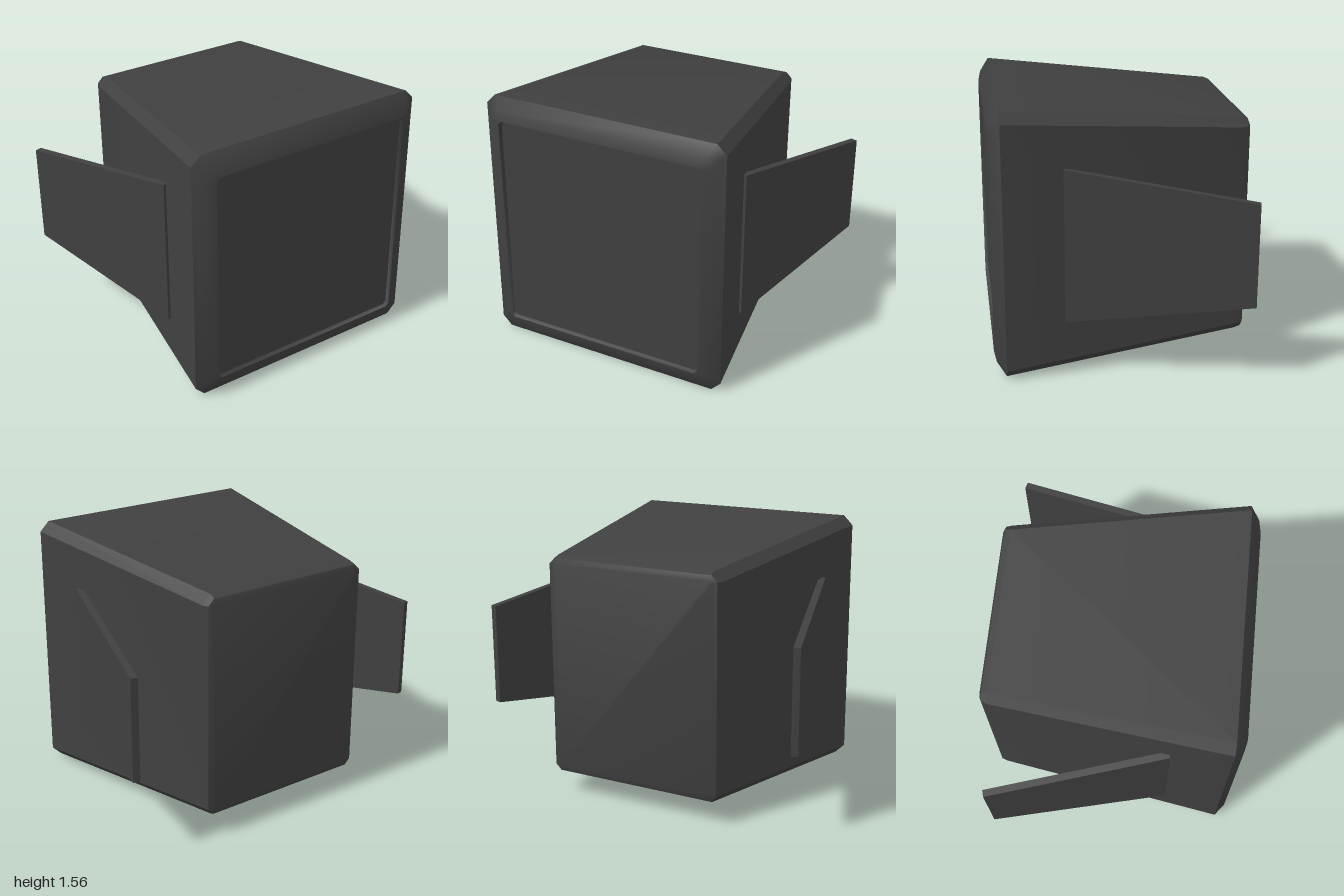
import * as THREE from 'three';
import { toCreasedNormals } from 'three/addons/utils/BufferGeometryUtils.js';

const MID_Y = 0.778;
const material = new THREE.MeshStandardMaterial({ color: 0x404040 });

// Rectangle with cut corners, counter-clockwise seen from +z
function section([z, hx, hy, c]) {
  const corners = [[1, -1], [1, 1], [-1, 1], [-1, -1]];
  return corners.flatMap(([sx, sy]) => {
    const onSide = [sx * hx, MID_Y + sy * (hy - c), z];
    const onEnd = [sx * (hx - c), MID_Y + sy * hy, z];
    return sx * sy < 0 ? [onEnd, onSide] : [onSide, onEnd];
  });
}

// Skin the sections from back to front and close both ends
function loft(sections) {
  const loops = sections.map(section);
  const positions = [];
  const tri = (a, b, c) => positions.push(...a, ...b, ...c);
  const n = loops[0].length;
  for (let k = 0; k < loops.length - 1; k++) {
    for (let i = 0; i < n; i++) {
      const j = (i + 1) % n;
      const a = loops[k], b = loops[k + 1];
      tri(a[i], a[j], b[j]);
      tri(a[i], b[j], b[i]);
    }
  }
  const back = loops[0], front = loops[loops.length - 1];
  for (let i = 1; i < n - 1; i++) {
    tri(back[0], back[i + 1], back[i]);
    tri(front[0], front[i], front[i + 1]);
  }
  const geometry = new THREE.BufferGeometry();
  geometry.setAttribute('position', new THREE.Float32BufferAttribute(positions, 3));
  return toCreasedNormals(geometry, 0.7);
}

// Thin tapered plate splayed outwards to the rear
function finGeometry(side) {
  const geometry = new THREE.BoxGeometry(1, 1, 1);
  const p = geometry.attributes.position;
  for (let i = 0; i < p.count; i++) {
    const outer = p.getX(i) * side > 0;
    const front = p.getZ(i) > 0;
    const x = (front ? 0.715 : 1.0) - (outer ? 0 : 0.039);
    const z = (front ? 0.337 : -0.687) - (outer ? 0 : 0.011);
    const y = MID_Y + Math.sign(p.getY(i)) * (front ? 0.45 : 0.3);
    p.setXYZ(i, side * x, y, z);
  }
  const flat = geometry.toNonIndexed();
  flat.computeVertexNormals();
  return flat;
}

export function createModel() {
  const model = new THREE.Group();
  model.name = 'taperedHousingWithFins';

  // Housing: rounded back, bevelled front rim and shallow recessed panel
  // each section: z, half width, half height, corner cut
  const body = new THREE.Mesh(loft([
    [-0.742, 0.51, 0.61, 0.015],
    [-0.730, 0.535, 0.64, 0.035],
    [-0.695, 0.548, 0.655, 0.053],
    [0.675, 0.747, 0.778, 0.057],
    [0.728, 0.69, 0.705, 0.045],
    [0.742, 0.632, 0.652, 0.02],
    [0.722, 0.622, 0.642, 0.018],
  ]), material);
  body.name = 'housing';
  model.add(body);

  // Side fins
  for (const side of [1, -1]) {
    const fin = new THREE.Mesh(finGeometry(side), material);
    fin.name = side > 0 ? 'leftFin' : 'rightFin';
    model.add(fin);
  }
  return model;
}
